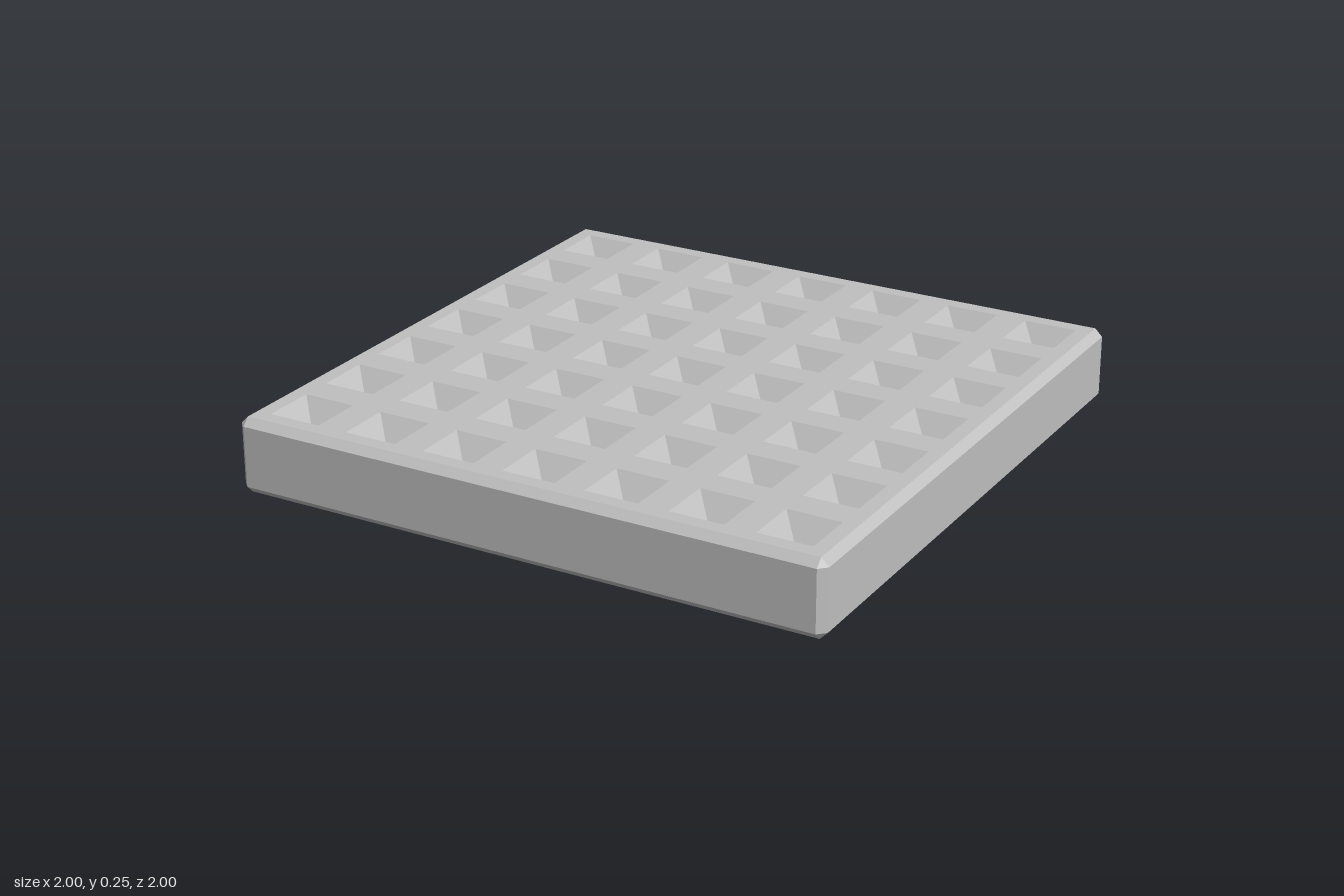
import * as THREE from 'three';
import { mergeGeometries } from 'three/addons/utils/BufferGeometryUtils.js';

const HEIGHT = 0.25, OUTER = 1, BEVEL = 0.025, INNER = OUTER - BEVEL;
const COUNT = 7, SPACING = 0.279, PIT_HALF = 0.089, PIT_DEPTH = 0.11;

// Chamfered outline, counterclockwise from above; the inset loop clamps it to a square
const outline = [[-INNER, OUTER], [INNER, OUTER], [OUTER, INNER], [OUTER, -INNER],
  [INNER, -OUTER], [-INNER, -OUTER], [-OUTER, -INNER], [-OUTER, INNER]];
const clamp = v => THREE.MathUtils.clamp(v, -INNER, INNER);

function ring(y, inset) {
  return outline.map(([x, z]) => inset
    ? new THREE.Vector3(clamp(x), y, clamp(z))
    : new THREE.Vector3(x, y, z));
}

// Side walls with chamfers along every edge
function rimGeometry() {
  const rings = [ring(0, true), ring(BEVEL, false), ring(HEIGHT - BEVEL, false), ring(HEIGHT, true)];
  const points = [];
  const triangle = (a, b, c) => {
    if (!a.equals(b) && !b.equals(c) && !a.equals(c)) points.push(a, b, c);
  };
  for (let r = 0; r < 3; r++) {
    for (let i = 0; i < 8; i++) {
      const j = (i + 1) % 8;
      triangle(rings[r][i], rings[r][j], rings[r + 1][j]);
      triangle(rings[r][i], rings[r + 1][j], rings[r + 1][i]);
    }
  }
  const geometry = new THREE.BufferGeometry().setFromPoints(points);
  geometry.computeVertexNormals();
  return geometry;
}

function squarePoints(cx, cy, h) {
  return [[-h, -h], [h, -h], [h, h], [-h, h]].map(([x, y]) => new THREE.Vector2(cx + x, cy + y));
}

export function createModel() {
  const group = new THREE.Group();
  group.name = 'waffleTile';
  const grey = new THREE.MeshStandardMaterial({ color: 0xc0c0c0 });
  grey.name = 'grey';
  const add = (name, geometry) => {
    const mesh = new THREE.Mesh(geometry, grey);
    mesh.name = name;
    group.add(mesh);
  };

  add('bevelledSides', rimGeometry());

  // Flat underside
  add('underside', new THREE.PlaneGeometry(INNER * 2, INNER * 2).rotateX(Math.PI / 2));

  // Top face pierced by a grid of square openings, each lined by an inverted pyramid
  const top = new THREE.Shape(squarePoints(0, 0, INNER));
  const pit = new THREE.ConeGeometry(PIT_HALF * Math.SQRT2, PIT_DEPTH, 4, 1, true)
    .rotateY(Math.PI / 4).scale(1, -1, 1).toNonIndexed();
  pit.computeVertexNormals();
  const pits = [];
  for (let row = 0; row < COUNT; row++) {
    for (let col = 0; col < COUNT; col++) {
      const x = (col - (COUNT - 1) / 2) * SPACING;
      const z = (row - (COUNT - 1) / 2) * SPACING;
      top.holes.push(new THREE.Path(squarePoints(x, -z, PIT_HALF).reverse()));
      pits.push(pit.clone().translate(x, HEIGHT - PIT_DEPTH / 2, z));
    }
  }
  add('topFace', new THREE.ShapeGeometry(top).rotateX(-Math.PI / 2).translate(0, HEIGHT, 0));
  add('pyramidPits', mergeGeometries(pits));

  return group;
}
